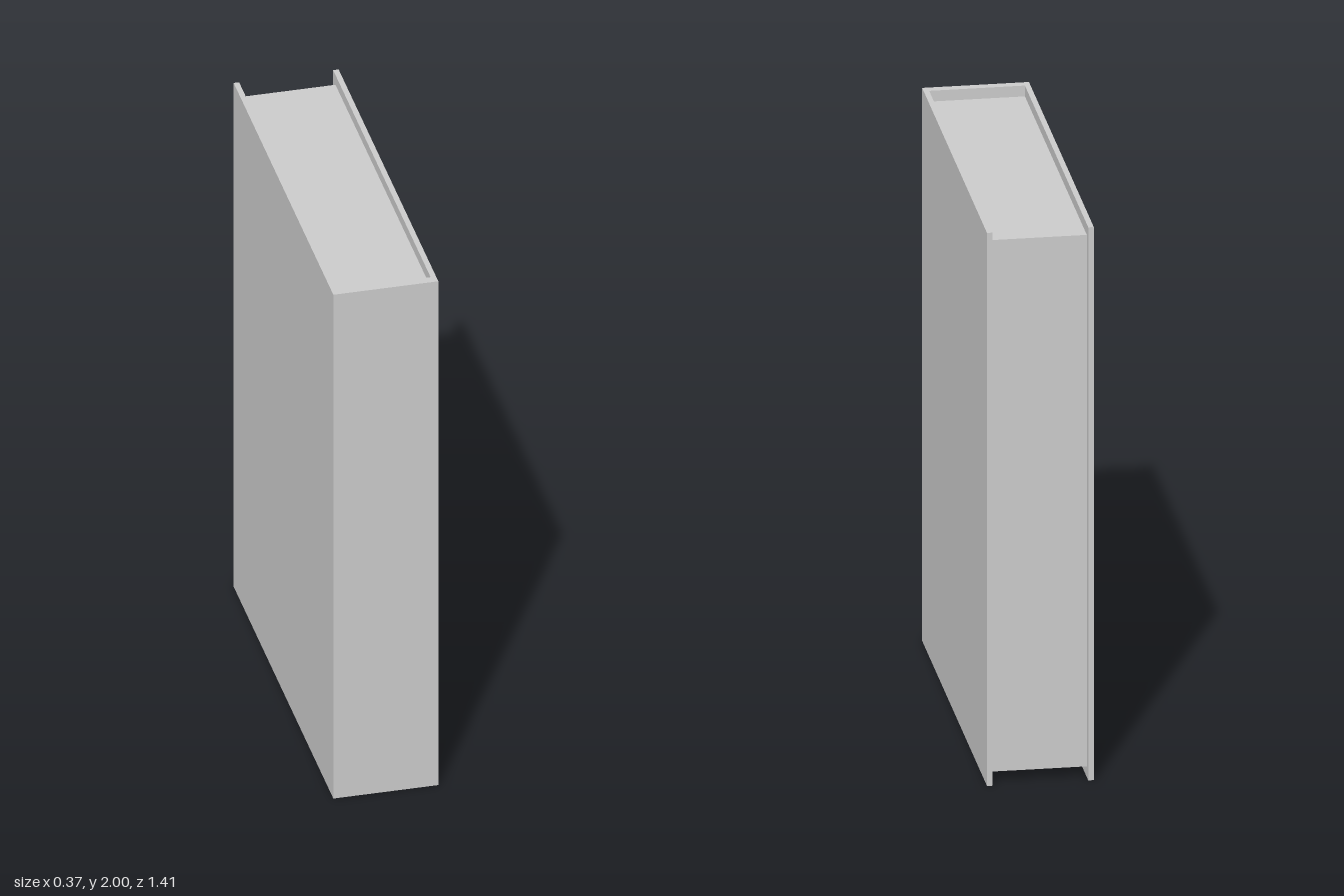
import * as THREE from 'three';

const HEIGHT = 2;
const HALF_WIDTH = 0.183;
const HALF_DEPTH = 0.707;
const BOARD = 0.019;   // cover board thickness
const INSET = 0.032;   // spine thickness and page setback at the fore edge
const PAGE_GAP = 0.039; // page setback at top and bottom

export function createModel() {
  const book = new THREE.Group();
  book.name = 'book';
  const material = new THREE.MeshStandardMaterial({ color: 0xcccccc, flatShading: true });

  // Cover: U-shaped outline (two boards joined by the spine at +z), extruded upward
  const inner = HALF_WIDTH - BOARD;
  const spineInner = HALF_DEPTH - INSET;
  const outline = new THREE.Shape([
    [-HALF_WIDTH, -HALF_DEPTH], [HALF_WIDTH, -HALF_DEPTH],
    [HALF_WIDTH, HALF_DEPTH], [inner, HALF_DEPTH],
    [inner, -spineInner], [-inner, -spineInner],
    [-inner, HALF_DEPTH], [-HALF_WIDTH, HALF_DEPTH],
  ].map(([x, y]) => new THREE.Vector2(x, y)));
  const coverGeometry = new THREE.ExtrudeGeometry(outline, { depth: HEIGHT, bevelEnabled: false });
  coverGeometry.rotateX(-Math.PI / 2); // shape y becomes -z
  const cover = new THREE.Mesh(coverGeometry, material);
  cover.name = 'cover';

  // Page block, set back from the cover on its three open edges
  const pages = new THREE.Mesh(
    new THREE.BoxGeometry(inner * 2, HEIGHT - PAGE_GAP * 2, spineInner * 2),
    material,
  );
  pages.name = 'pages';
  pages.position.y = HEIGHT / 2;

  book.add(cover, pages);
  return book;
}
